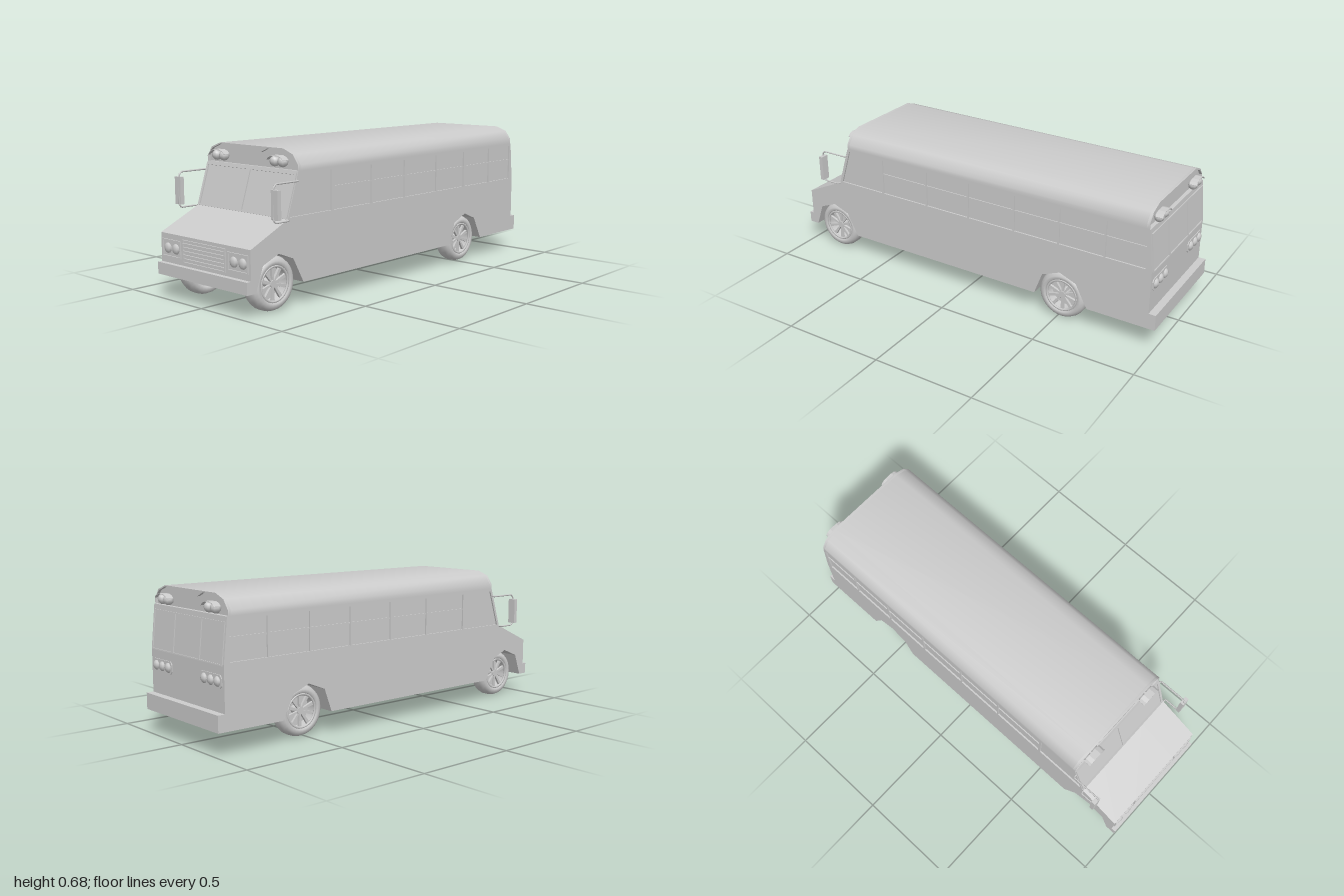
import * as THREE from 'three';
import { toCreasedNormals } from 'three/addons/utils/BufferGeometryUtils.js';

const grey = new THREE.MeshStandardMaterial({ color: 0xcccccc, side: THREE.DoubleSide });
const HALF = 0.2975; // half width of the body

function add(parent, name, geometry, x = 0, y = 0, z = 0) {
  const mesh = new THREE.Mesh(geometry, grey);
  mesh.name = name;
  mesh.position.set(x, y, z);
  parent.add(mesh);
  return mesh;
}
const outline = (pts) => new THREE.Shape(pts.map(([x, y]) => new THREE.Vector2(x, y)));
const rect = (x0, y0, x1, y1) => [[x0, y0], [x1, y0], [x1, y1], [x0, y1]];
function slab(pts, depth, holes = []) {
  const shape = outline(pts);
  for (const h of holes) shape.holes.push(outline(h));
  return new THREE.ExtrudeGeometry(shape, { depth, bevelEnabled: false });
}

// Plane on an end of the bus: local x across, local y up, local z outward
function endPlane(parent, name, end, x, y, tilt = 0) {
  const g = new THREE.Group();
  g.name = name;
  g.rotation.order = 'YXZ';
  g.rotation.set(-tilt, end * Math.PI / 2, 0);
  g.position.set(x, y, 0);
  parent.add(g);
  return g;
}

// Side profile; the lower edge is optionally cut by wheel arches
const upper = [[0.965, 0.115], [0.965, 0.4], [0.945, 0.6], [-0.7, 0.6], [-0.765, 0.4], [-0.977, 0.302], [-0.977, 0.115]];
const arch = (x) => [[-0.13, 0.115], [-0.09, 0.225], [0, 0.262], [0.085, 0.228], [0.145, 0.115]].map(([a, b]) => [a + x, b]);
const archedProfile = [...upper, ...arch(-0.82), ...arch(0.52)];

function buildBody(bus) {
  add(bus, 'bodyCore', slab(upper, 0.28), 0, 0, -0.14);
  const posts = [-0.488, -0.222, 0.02, 0.272, 0.508, 0.738, 0.938];
  const holes = [[[-0.752, 0.407], [-0.496, 0.407], [-0.496, 0.587], [-0.693, 0.587]]];
  for (let i = 0; i < 6; i++) holes.push(rect(posts[i] + 0.004, 0.407, posts[i + 1] - 0.004, 0.587));
  for (const s of [1, -1]) {
    add(bus, 'bodySide', slab(archedProfile, 0.15), 0, 0, s > 0 ? 0.14 : -0.29);
    add(bus, 'sideSkin', slab(archedProfile, 0.0075, holes), 0, 0, s > 0 ? 0.29 : -HALF);
    for (let i = 0; i < 6; i++)
      add(bus, 'windowBar', new THREE.BoxGeometry(posts[i + 1] - posts[i], 0.008, 0.006), (posts[i] + posts[i + 1]) / 2, 0.51, s * 0.292);
  }
  add(bus, 'frontBumper', new THREE.BoxGeometry(0.026, 0.055, HALF * 2), -0.987, 0.1425, 0);
  add(bus, 'rearBumper', new THREE.BoxGeometry(0.036, 0.077, HALF * 2), 0.982, 0.1535, 0);
}

// Arched roof with a lip that overhangs the recessed end caps
function buildRoof(bus) {
  const mirrored = (half) => [...half, ...half.map(([x, y]) => [-x, y]).reverse()];
  const outer = mirrored([[HALF, 0.6], [HALF, 0.625], [0.266, 0.668], [0.206, 0.69]]);
  const inner = mirrored([[0.294, 0.6], [0.294, 0.628], [0.26, 0.663], [0.204, 0.685], [0.108, 0.683], [0.063, 0.663]]);
  const place = (name, geo, x) => add(bus, name, toCreasedNormals(geo, 0.7), x).rotation.y = Math.PI / 2;
  place('roof', slab(outer, 1.615), -0.688);
  const lip = [...outer, ...inner.slice().reverse()];
  place('roofLip', slab(lip, 0.013), -0.701);
  place('roofLip', slab(lip, 0.013), 0.927);
}

// A pair of bulbs under a curved visor
function roofLights(plane) {
  for (const s of [1, -1]) {
    const cx = s * 0.1915;
    for (const d of [-0.0245, 0.0245])
      add(plane, 'warningLight', new THREE.SphereGeometry(0.024, 8, 6), cx + d, 0, 0.006);
    const band = [[-0.051, 0.009], [-0.04, 0.02], [-0.02, 0.027], [0.02, 0.027], [0.04, 0.02], [0.051, 0.009]];
    add(plane, 'lightVisor', slab([...band, ...band.map(([x, y]) => [x, y - 0.003]).reverse()], 0.034), cx, 0, -0.002);
  }
}

function buildRear(bus) {
  const glass = endPlane(bus, 'rearWindows', 1, 0.965, 0.4, Math.atan(0.1));
  add(glass, 'rearWindowFrame', slab(rect(-0.289, -0.006, 0.289, 0.178), 0.005, [
    rect(-0.282, 0, -0.114, 0.172), rect(-0.102, 0, 0.102, 0.172), rect(0.114, 0, 0.282, 0.172)]));
  const tail = endPlane(bus, 'tailLights', 1, 0.965, 0.327);
  for (const s of [1, -1]) {
    const plate = [[-0.082, -0.018], [-0.07, -0.029], [0.07, -0.029], [0.082, -0.018], [0.082, 0.014], [0.07, 0.028], [-0.07, 0.028], [-0.082, 0.014]];
    add(tail, 'tailLightPlate', slab(plate, 0.004), s * 0.2, 0, 0);
    for (const d of [-0.051, 0, 0.051])
      add(tail, 'tailLight', new THREE.SphereGeometry(0.024, 8, 6), s * 0.2 + d, -0.002, 0).scale.z = 0.75;
  }
  roofLights(endPlane(bus, 'rearRoofLights', 1, 0.94, 0.628));
}

function buildFront(bus) {
  const tilt = Math.atan(0.065 / 0.2);
  const glass = endPlane(bus, 'windshield', -1, -0.765, 0.4, tilt);
  add(glass, 'windshieldFrame', slab(rect(-0.294, 0, 0.294, 0.203), 0.006, [
    rect(-0.282, 0.009, -0.005, 0.192), rect(0.005, 0.009, 0.282, 0.192)]));
  const nose = endPlane(bus, 'noseFace', -1, -0.977, 0.235);
  add(nose, 'grilleFrame', slab(rect(-0.143, -0.052, 0.143, 0.052), 0.006, [rect(-0.136, -0.046, 0.136, 0.046)]));
  for (let i = 0; i < 5; i++)
    add(nose, 'grilleSlat', new THREE.BoxGeometry(0.272, 0.008, 0.01), 0, -0.034 + i * 0.017, 0.002);
  for (const s of [1, -1]) {
    add(nose, 'headlightFrame', slab(rect(-0.064, -0.038, 0.064, 0.042), 0.006, [rect(-0.058, -0.032, 0.058, 0.036)]), s * 0.221, 0, 0);
    for (const d of [-0.028, 0.028])
      add(nose, 'headlight', new THREE.SphereGeometry(0.024, 8, 6), s * 0.221 + d, 0.002, 0).scale.z = 0.5;
  }
  roofLights(endPlane(bus, 'frontRoofLights', -1, -0.706, 0.634));
}

// Side mirror on a bent tube bracket
function buildMirror(bus, s) {
  const pts = [[-0.71, 0.56, 0.296], [-0.712, 0.56, 0.312], [-0.845, 0.56, 0.312], [-0.857, 0.548, 0.312],
    [-0.86, 0.41, 0.312], [-0.85, 0.397, 0.312], [-0.772, 0.397, 0.312], [-0.77, 0.397, 0.296]].map(([x, y, z]) => new THREE.Vector3(x, y, s * z));
  const path = new THREE.CurvePath();
  for (let i = 1; i < pts.length; i++) path.add(new THREE.LineCurve3(pts[i - 1], pts[i]));
  add(bus, 'mirrorBracket', new THREE.TubeGeometry(path, 60, 0.004, 6));
  add(bus, 'mirror', new THREE.BoxGeometry(0.02, 0.126, 0.04), -0.852, 0.474, s * 0.319);
}

// Rounded tyre, rim, hub and ten spokes; local z points outward
function buildWheel(bus, x, z) {
  const wheel = new THREE.Group();
  wheel.name = 'wheel';
  wheel.position.set(x, 0.127, z);
  if (z < 0) wheel.rotation.y = Math.PI;
  bus.add(wheel);
  const profile = [[0.08, -0.036], [0.086, -0.044], [0.1, -0.044], [0.113, -0.034], [0.12, -0.016],
    [0.12, 0.016], [0.113, 0.034], [0.1, 0.044], [0.086, 0.044], [0.08, 0.036], [0.08, -0.036]];
  add(wheel, 'tyre', new THREE.LatheGeometry(profile.map(([r, h]) => new THREE.Vector2(r, h)), 32)).rotation.x = Math.PI / 2;
  add(wheel, 'rimRing', new THREE.TorusGeometry(0.077, 0.006, 6, 32), 0, 0, 0.036);
  add(wheel, 'rimBack', new THREE.CircleGeometry(0.08, 32), 0, 0, -0.02);
  add(wheel, 'hub', new THREE.CylinderGeometry(0.017, 0.02, 0.05, 16), 0, 0, 0.006).rotation.x = Math.PI / 2;
  for (let i = 0; i < 10; i++) {
    const spoke = slab([[0.012, -0.004], [0.078, -0.008], [0.078, 0.008], [0.012, 0.004]], 0.012);
    add(wheel, 'spoke', spoke, 0, 0, 0.016).rotation.z = (i + 0.5) * Math.PI / 5;
  }
}

export function createModel() {
  const bus = new THREE.Group();
  bus.name = 'bus';
  buildBody(bus);
  buildRoof(bus);
  buildRear(bus);
  buildFront(bus);
  for (const s of [1, -1]) buildMirror(bus, s);
  for (const x of [-0.82, 0.52]) {
    buildWheel(bus, x, 0.233);
    buildWheel(bus, x, -0.204);
    add(bus, 'axle', new THREE.CylinderGeometry(0.007, 0.007, 0.43, 8), x, 0.127, 0.015).rotation.x = Math.PI / 2;
  }
  return bus;
}
